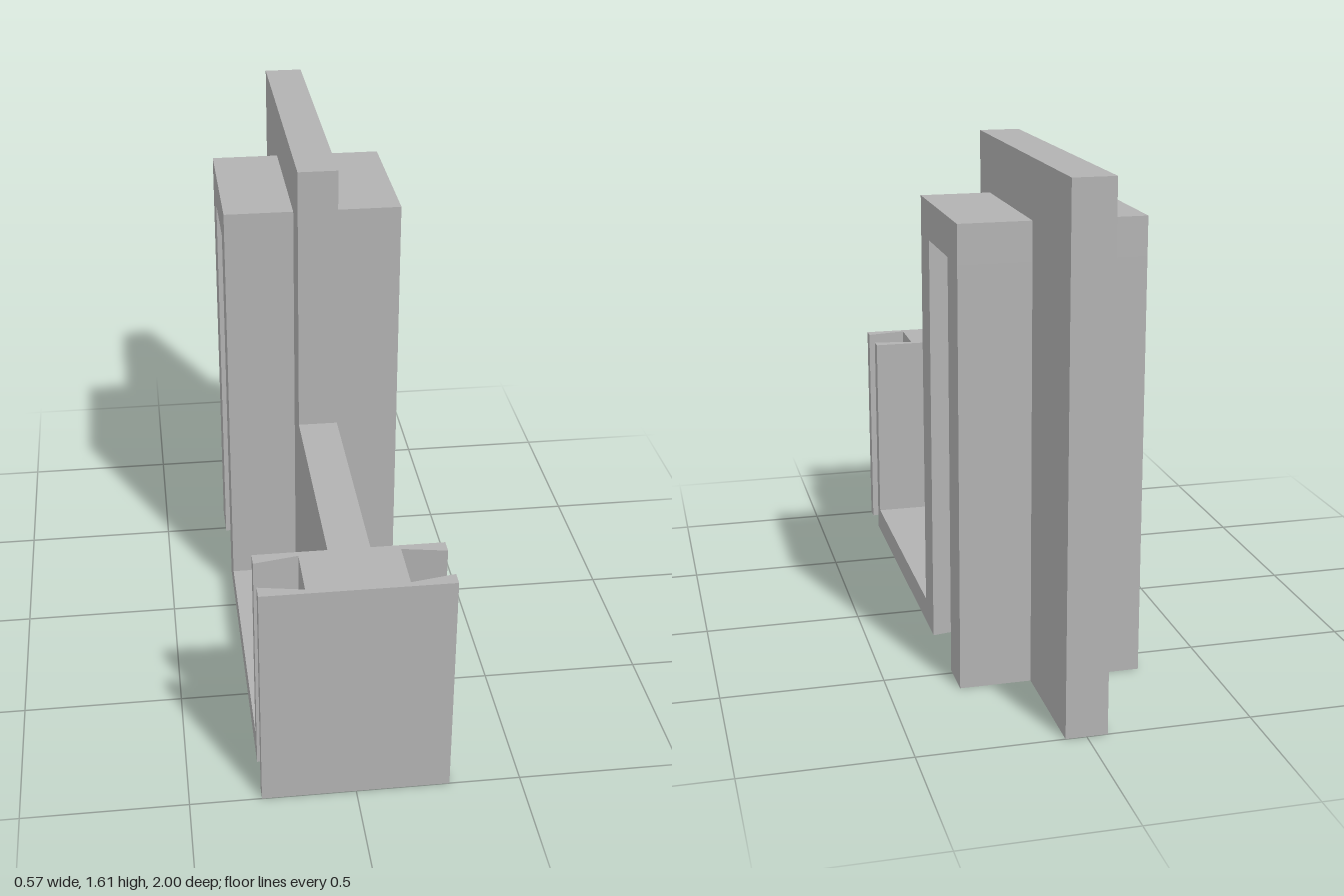
import * as THREE from 'three';

export function createModel() {
  const model = new THREE.Group();
  const plainGrey = new THREE.MeshStandardMaterial({ color: 0xb2b2b2 });
  const W = 0.284; // half width of the body
  const T = 0.063; // half thickness of the central web

  const add = (name, geometry) => {
    const mesh = new THREE.Mesh(geometry, plainGrey);
    mesh.name = name;
    model.add(mesh);
  };

  const outline = (points) => new THREE.Shape(points.map(([a, b]) => new THREE.Vector2(a, b)));

  // Upright prism from a plan outline of [x, z] points
  const prism = (plan, y0, y1) =>
    new THREE.ExtrudeGeometry(outline(plan.map(([x, z]) => [x, -z])), { depth: y1 - y0, bevelEnabled: false })
      .rotateX(-Math.PI / 2)
      .translate(0, y0, 0);

  const block = (x0, x1, y0, y1, z0, z1) =>
    new THREE.BoxGeometry(x1 - x0, y1 - y0, z1 - z0)
      .translate((x0 + x1) / 2, (y0 + y1) / 2, (z0 + z1) / 2);

  // L-shaped central web, drawn in [z, y] and extruded across x
  const web = outline([[-1, 0], [0.79, 0], [0.79, 0.73], [0.04, 0.73], [0.04, 1.61], [-1, 1.61]]);
  add('centralWeb', new THREE.ExtrudeGeometry(web, { depth: 2 * T, bevelEnabled: false })
    .rotateY(-Math.PI / 2)
    .translate(T, 0, 0));

  // Front post with a dovetail groove on each side
  const half = [[W, 0.79], [W, 0.835], [0.15, 0.81], [0.15, 0.98], [W, 0.955], [W, 1]];
  const mirrored = half.map(([x, z]) => [-x, z]).reverse();
  add('frontPost', prism([...half, ...mirrored], 0, 0.73));

  for (const [side, s] of [['left', 1], ['right', -1]]) {
    const lo = Math.min(s * T, s * W), hi = Math.max(s * T, s * W);

    // Floor ledge between the post and the arch
    add(side + 'Ledge', block(lo, hi, 0, 0.08, -0.09, 0.79));

    // Arch whose slot widens towards the web
    add(side + 'ArchTop', block(lo, hi, 1.31, 1.43, -0.61, -0.09));
    add(side + 'ArchFrontLeg',
      prism([[s * T, -0.09], [s * W, -0.09], [s * W, -0.21], [s * T, -0.17]], 0, 1.31));
    add(side + 'ArchBackLeg',
      prism([[s * T, -0.61], [s * W, -0.61], [s * W, -0.48], [s * T, -0.52]], 0, 1.31));
  }

  return model;
}
